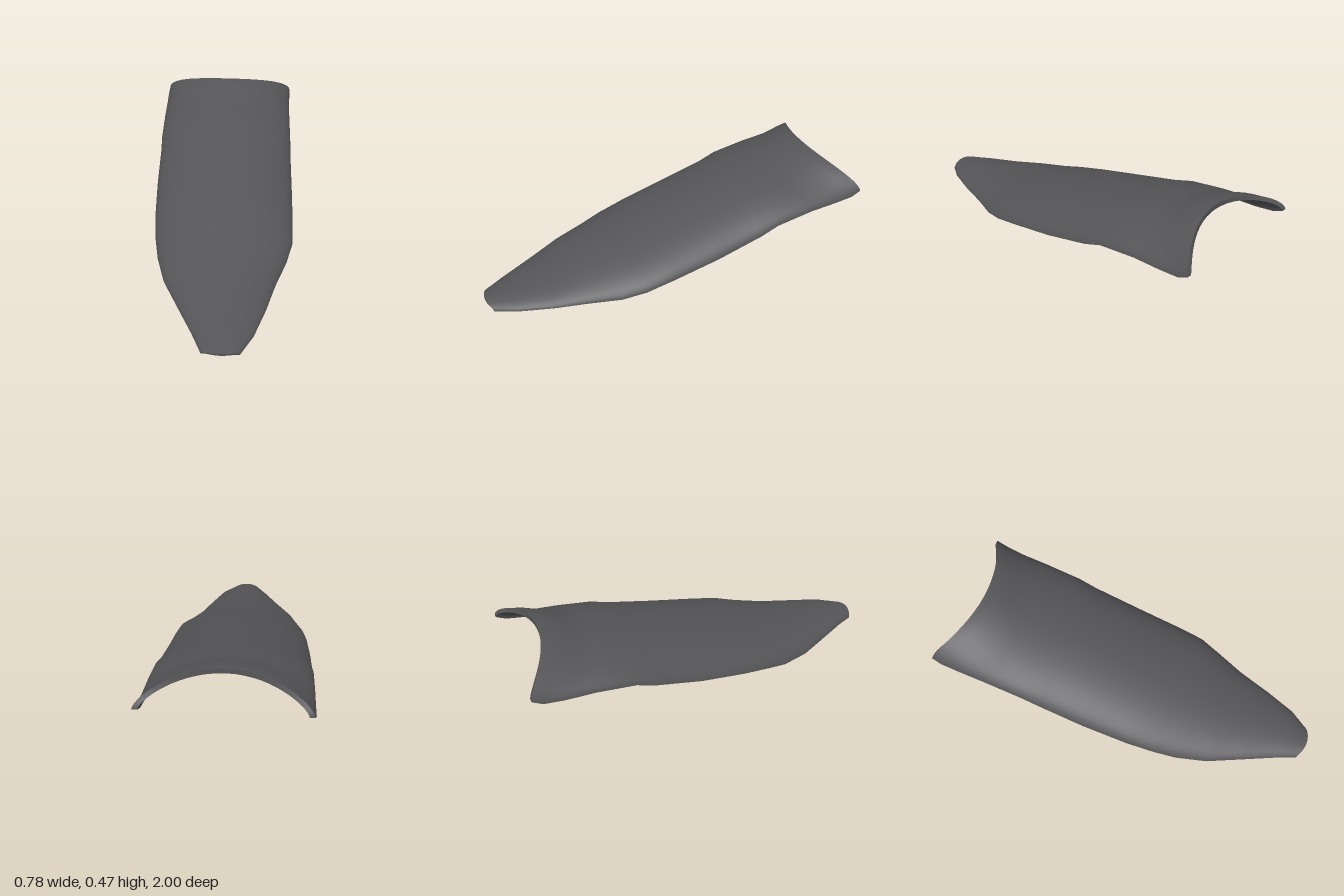
import * as THREE from 'three';
import { toCreasedNormals } from 'three/addons/utils/BufferGeometryUtils.js';

// Stations from back to tip: edge z, crest z, left x, right x, edge y, crest y
const stations = [
  [-1, -0.86, -0.385, 0.38, 0.33, 0.465],
  [-0.95, -0.8, -0.39, 0.38, 0.305, 0.46],
  [-0.85, -0.72, -0.388, 0.376, 0.29, 0.418],
  [-0.7, -0.62, -0.385, 0.377, 0.28, 0.4],
  [-0.5, -0.5, -0.38, 0.38, 0.25, 0.375],
  [-0.4, -0.4, -0.375, 0.381, 0.21, 0.35],
  [-0.15, -0.15, -0.367, 0.387, 0.145, 0.29],
  [0.1, 0.1, -0.35, 0.39, 0.095, 0.225],
  [0.25, 0.25, -0.33, 0.387, 0.065, 0.185],
  [0.37, 0.37, -0.305, 0.355, 0.035, 0.152],
  [0.53, 0.53, -0.255, 0.3, 0.022, 0.113],
  [0.7, 0.7, -0.17, 0.255, 0.016, 0.077],
  [0.87, 0.88, -0.085, 0.2, 0.012, 0.052],
  [0.975, 1, -0.035, 0.14, 0, 0.03],
];
const SEG = 28;

// Closed thin shell: each ring runs over the arch and back along its underside
function shellGeometry() {
  const pos = [], idx = [], ring = 2 * (SEG + 1);
  stations.forEach(([ze, zc, xl, xr, ye, yc]) => {
    const t = THREE.MathUtils.mapLinear(ze, -1, 1, 0.025, 0.012);
    const cx = (xl + xr) / 2, w = (xr - xl) / 2, h = yc - ye;
    for (let k = 0; k < ring; k++) {
      const inner = k > SEG;
      const j = inner ? ring - 1 - k : k;
      const a = (j / SEG - 0.5) * Math.PI;
      const s = Math.sin(a), c = Math.max(0, Math.cos(a));
      const d = inner ? t : 0;
      pos.push(cx + (w - d) * s, ye + (h - d) * Math.pow(c, 1.2), ze + (zc - ze) * (1 - s * s));
    }
  });

  // Skin between neighbouring rings
  for (let i = 0; i < stations.length - 1; i++) {
    for (let k = 0; k < ring; k++) {
      const a = i * ring + k, b = i * ring + (k + 1) % ring;
      idx.push(a, a + ring, b, b, a + ring, b + ring);
    }
  }

  // Rims closing the back and the tip
  const last = (stations.length - 1) * ring;
  for (let j = 0; j < SEG; j++) {
    const o = j, p = j + 1, q = ring - 1 - j, r = ring - 2 - j;
    idx.push(o, p, q, p, r, q);
    idx.push(last + o, last + q, last + p, last + p, last + q, last + r);
  }

  const geo = new THREE.BufferGeometry();
  geo.setAttribute('position', new THREE.Float32BufferAttribute(pos, 3));
  geo.setIndex(idx);
  return toCreasedNormals(geo, 1);
}

export function createModel() {
  const group = new THREE.Group();
  group.name = 'curvedGuard';
  const shell = new THREE.Mesh(shellGeometry(), new THREE.MeshStandardMaterial({ color: 0x555558 }));
  shell.name = 'archedShell';
  group.add(shell);
  return group;
}
